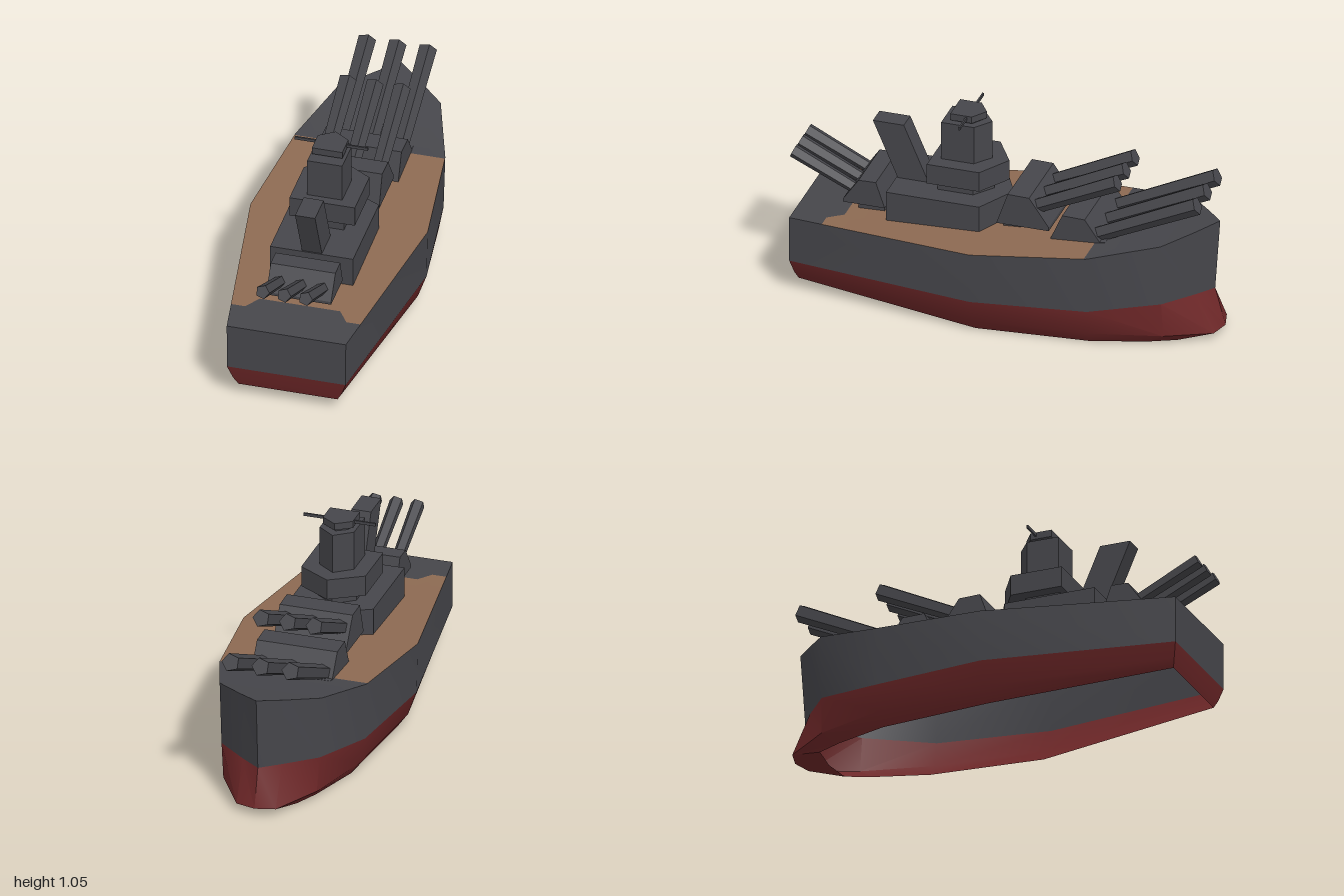
import * as THREE from 'three';
import { mergeVertices, toCreasedNormals } from 'three/addons/utils/BufferGeometryUtils.js';

const paint = (name, color) => {
  const m = new THREE.MeshStandardMaterial({ color, side: THREE.DoubleSide });
  m.name = name;
  return m;
};

// Skins a list of equal-length point rows; closed joins each row's ends.
function loft(rows, closed) {
  const n = rows[0].length, index = [];
  for (let r = 0; r < rows.length - 1; r++) {
    for (let i = 0; i < (closed ? n : n - 1); i++) {
      const a = r * n + i, b = r * n + (i + 1) % n, c = a + n, d = b + n;
      index.push(a, b, c, b, d, c);
    }
  }
  const g = new THREE.BufferGeometry();
  g.setAttribute('position', new THREE.Float32BufferAttribute(rows.flat(2), 3));
  g.setIndex(index);
  return toCreasedNormals(mergeVertices(g), 0.6);
}

// Hull lines as [along, height, half width], stern to bow tip.
const DECK = [[-1.013, 0.435, 0.313], [0, 0.475, 0.466], [0.6, 0.518, 0.394], [0.958, 0.588, 0.272], [1.09, 0.615, 0.12], [1.187, 0.637, 0]];
const WATER = [[-1.013, 0.185, 0.312], [0, 0.2, 0.46], [0.6, 0.208, 0.385], [0.958, 0.25, 0.262], [1.09, 0.25, 0.105], [1.16, 0.245, 0]];
const CHINE = [[-0.995, 0.11, 0.285], [0, 0.07, 0.415], [0.6, 0.07, 0.36], [0.965, 0.06, 0.25], [1.187, 0.04, 0.105], [1.215, 0.04, 0]];
const KEEL = [[-0.98, 0.065, 0.26], [0, 0, 0.365], [0.6, 0, 0.31], [0.88, 0, 0.22], [1.01, 0, 0.16], [1.03, 0, 0]];

// Full ring around the hull from one half line.
const ring = (line) => [
  ...line.map(([x, y, h]) => [x, y, h]),
  ...line.slice(0, -1).reverse().map(([x, y, h]) => [x, y, -h]),
];

// Point on the deck edge at a given distance along the ship.
function deckAt(x) {
  const i = Math.max(1, DECK.findIndex((p) => p[0] >= x));
  const a = DECK[i - 1], b = DECK[i], t = (x - a[0]) / (b[0] - a[0]);
  return a.map((v, k) => v + (b[k] - v) * t);
}

// Row of points across the deck; curve moves the outer ones aft.
const deckRow = (x, curve = 0) => [-1, -0.78, -0.6, 0.6, 0.78, 1].map((f) => {
  const px = x - (Math.abs(f) > 0.7 ? curve : 0);
  const [, y, h] = deckAt(px);
  return [px, y, f * h];
});

// Drops every vertex below a level onto the deck.
function seat(g, level) {
  const p = g.attributes.position;
  for (let i = 0; i < p.count; i++) {
    if (p.getY(i) < level) p.setY(i, deckAt(p.getX(i))[1] + 0.001);
  }
  return g;
}

// Pentagonal house: square stern end, pointed bow end.
function house(back, shoulder, tip, half, y0, y1) {
  const s = new THREE.Shape([[back, -half], [shoulder, -half], [tip, 0], [shoulder, half], [back, half]]
    .map((p) => new THREE.Vector2(...p)));
  return new THREE.ExtrudeGeometry(s, { depth: y1 - y0, bevelEnabled: false })
    .rotateX(-Math.PI / 2).translate(0, y0, 0);
}

// Turret body with a sloping gun face; x is its rear edge, facing is 1 for the bow.
function turretBody(x, y, size, half, facing) {
  const s = new THREE.Shape([[0, 0], [0.28, 0], [0.28, 0.02], [0.175, 0.172], [0.06, 0.175]]
    .map(([a, b]) => new THREE.Vector2(a * size * facing, b * size)));
  return new THREE.ExtrudeGeometry(s, { depth: half * 2, bevelEnabled: false }).translate(x, y, -half);
}

export function createModel() {
  const grey = paint('steel grey', 0x46464b);
  const red = paint('hull red', 0x6e2728);
  const wood = paint('deck wood', 0x8d6a52);

  const root = new THREE.Group();
  root.name = 'battleship';
  root.rotation.y = 0.6726;
  const ship = new THREE.Group();
  ship.name = 'ship';
  ship.position.z = -0.02;
  root.add(ship);

  const add = (name, geometry, material = grey) => {
    const m = new THREE.Mesh(geometry, material);
    m.name = name;
    ship.add(m);
    return m;
  };

  // Hull, open underneath
  add('upperHull', loft([ring(WATER), ring(DECK)], true));
  add('lowerHull', loft([ring(KEEL), ring(CHINE), ring(WATER)], true), red);

  // Deck in three painted lengths
  const sternEdge = deckRow(-0.75, 0.08), bowEdge = deckRow(0.588);
  add('sternDeck', loft([deckRow(-1.013), sternEdge], false));
  add('woodDeck', loft([sternEdge, deckRow(0), bowEdge], false), wood);
  add('bowDeck', loft([bowEdge, ...DECK.slice(2).map((p) => deckRow(p[0]))], false));

  // Superstructure tiers
  add('deckhouse', seat(house(-0.527, -0.03, 0.085, 0.218, 0.455, 0.617), 0.5));
  add('bridgeBase', house(-0.29, -0.1, -0.02, 0.105, 0.61, 0.685));
  add('bridge', house(-0.325, -0.045, 0.06, 0.172, 0.68, 0.79));
  add('tower', house(-0.275, -0.1, -0.03, 0.092, 0.785, 1.0));
  add('directorNeck', house(-0.2, -0.12, -0.085, 0.055, 0.995, 1.02));
  add('director', house(-0.23, -0.115, -0.06, 0.08, 1.015, 1.052));
  add('rangefinder', new THREE.BoxGeometry(0.009, 0.016, 0.385).translate(-0.145, 1.037, 0));

  // Raked funnel: a box sheared toward the stern
  const funnel = new THREE.BoxGeometry(0.165, 0.325, 0.105).translate(-0.5, 0.7625, 0);
  const fp = funnel.attributes.position;
  for (let i = 0; i < fp.count; i++) fp.setX(i, fp.getX(i) + (0.7625 - fp.getY(i)) * 0.43);
  funnel.computeVertexNormals();
  add('funnel', funnel);

  // Turret bodies and pedestals
  add('foreTurret', seat(turretBody(0.35, 0.46, 1.05, 0.215, 1), 0.465));
  add('raisedTurret', turretBody(0.055, 0.53, 1, 0.195, 1));
  add('aftTurret', turretBody(-0.55, 0.495, 0.8, 0.17, -1));
  add('raisedPedestal', seat(new THREE.BoxGeometry(0.21, 0.06, 0.25).translate(0.175, 0.51, 0), 0.5));
  add('aftPedestal', seat(new THREE.BoxGeometry(0.14, 0.06, 0.25).translate(-0.635, 0.472, 0), 0.48));

  // Three raised guns per turret, from root to muzzle
  function guns(name, rootX, tipX, tipY, spacing, radius) {
    const run = tipX - rootX, rise = Math.abs(run) * 0.48;
    for (const k of [-1, 0, 1]) {
      const gun = new THREE.CylinderGeometry(radius, radius * 0.85, Math.hypot(run, rise), 5).toNonIndexed();
      gun.computeVertexNormals();
      const m = add(name, gun);
      m.rotation.z = Math.atan2(rise, run) - Math.PI / 2;
      m.position.set((rootX + tipX) / 2, tipY - rise / 2, k * spacing);
    }
  }
  guns('foreGun', 0.53, 1.118, 0.797, 0.16, 0.048);
  guns('raisedGun', 0.23, 0.685, 0.845, 0.142, 0.046);
  guns('aftGun', -0.69, -1.057, 0.713, 0.113, 0.037);

  return root;
}
